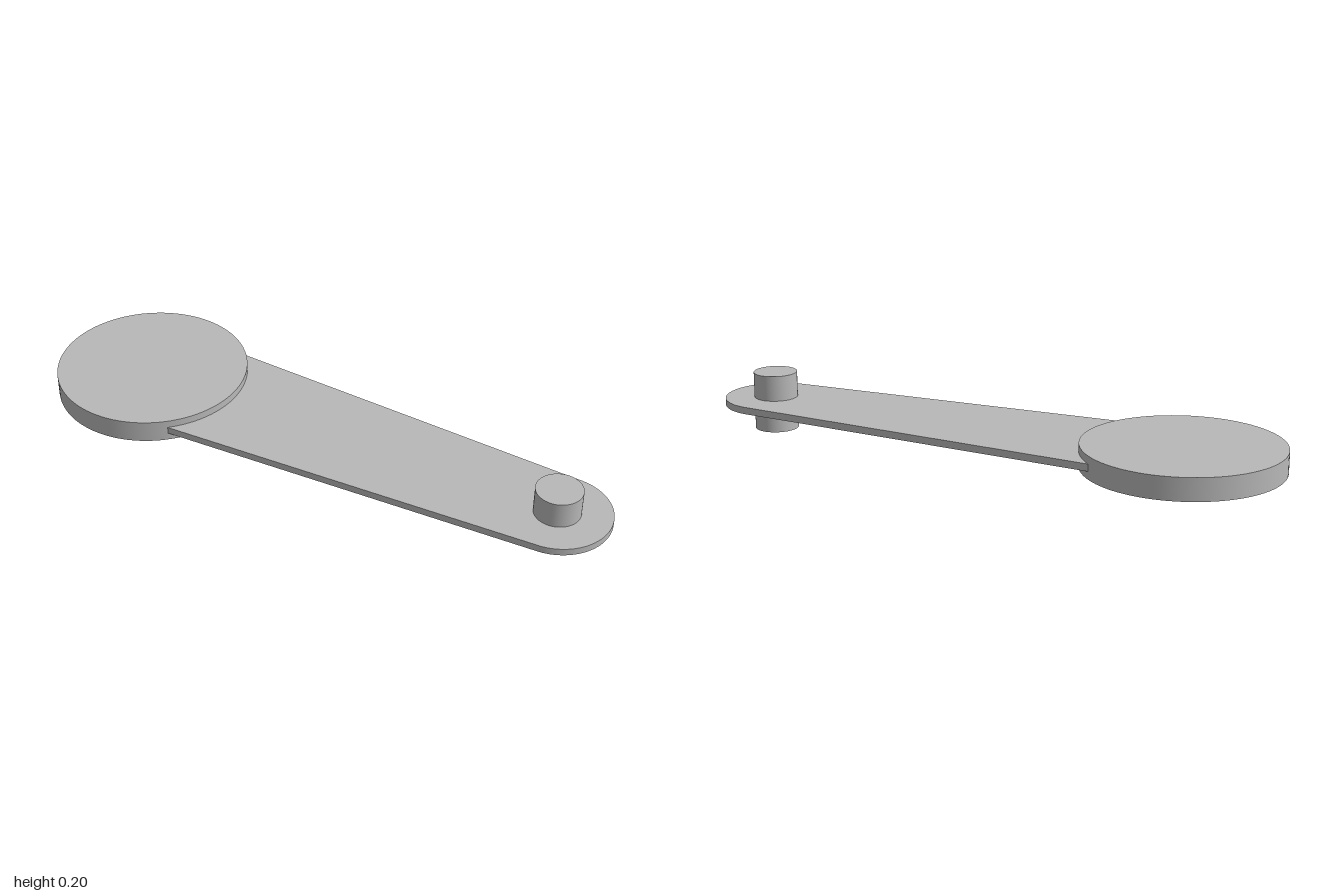
import * as THREE from 'three';
import { toCreasedNormals } from 'three/addons/utils/BufferGeometryUtils.js';

export function createModel() {
  const model = new THREE.Group();
  model.name = 'crankArm';
  const grey = new THREE.MeshStandardMaterial({ color: 0xb8b8b8 });
  grey.name = 'plain grey';

  const midY = 0.1;
  const discX = -0.675;
  const pinX = 0.825;

  const add = (name, geometry, x) => {
    const mesh = new THREE.Mesh(geometry, grey);
    mesh.name = name;
    mesh.position.set(x, midY, 0);
    model.add(mesh);
  };

  // Round head and the pin that passes through the far end
  add('disc', new THREE.CylinderGeometry(0.325, 0.325, 0.075, 96), discX);
  add('pin', new THREE.CylinderGeometry(0.075, 0.075, 0.2, 64), pinX);

  // Tapered flat arm with a semicircular tip, starting inside the disc
  const thickness = 0.024;
  const outline = new THREE.Shape();
  outline.moveTo(discX, -0.25);
  outline.lineTo(pinX, -0.175);
  outline.absarc(pinX, 0, 0.175, -Math.PI / 2, Math.PI / 2, false);
  outline.lineTo(discX, 0.25);
  outline.closePath();
  const arm = new THREE.ExtrudeGeometry(outline, { depth: thickness, bevelEnabled: false, curveSegments: 48 });
  arm.translate(0, 0, -thickness / 2);
  arm.rotateX(-Math.PI / 2);
  add('arm', toCreasedNormals(arm, 0.5), 0);

  return model;
}
